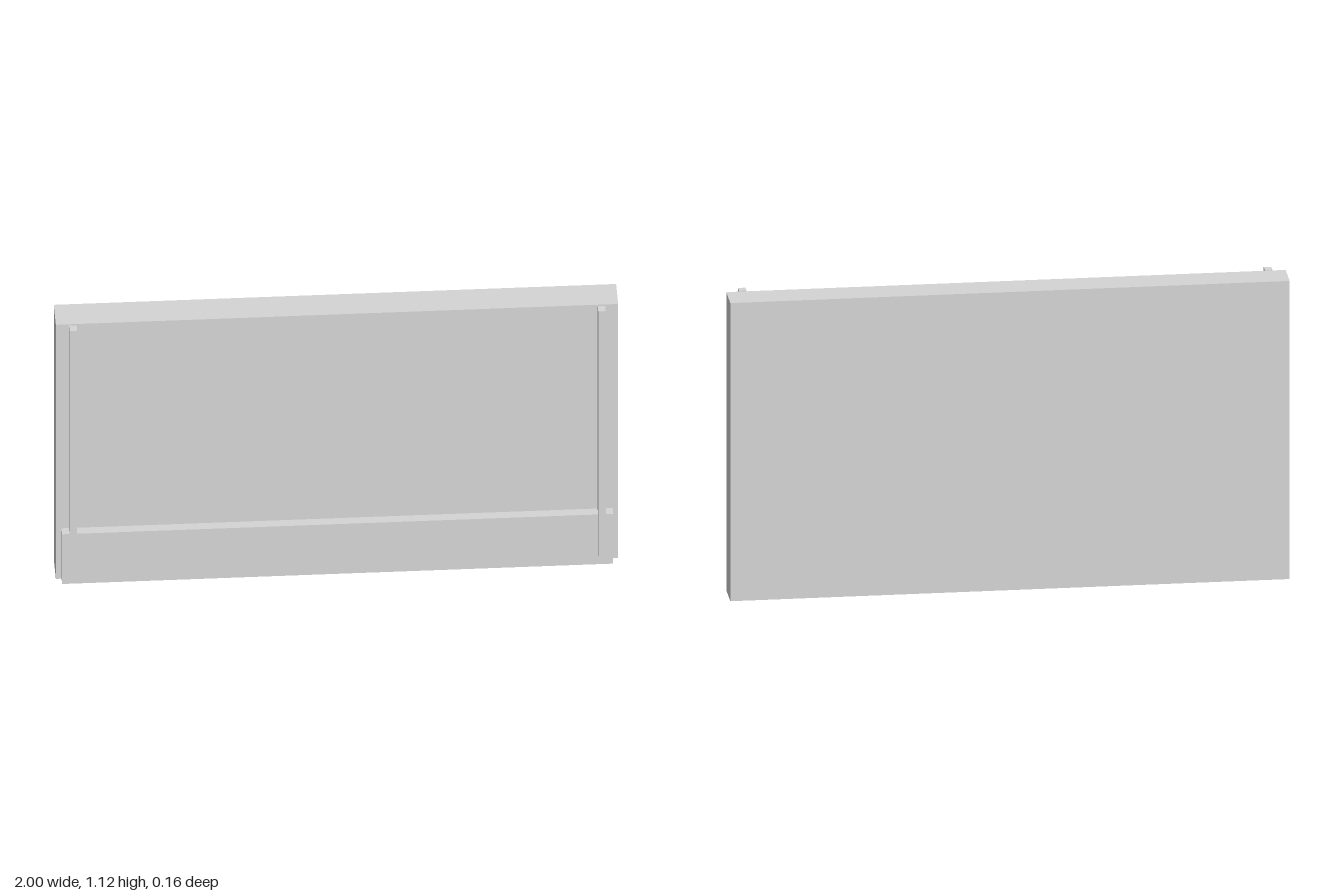
import * as THREE from 'three';

const grey = new THREE.MeshStandardMaterial({ color: 0xd5d5d5 });
grey.name = 'light grey';

// Box given by its extents along each axis
function block(name, [x0, x1], [y0, y1], [z0, z1]) {
  const mesh = new THREE.Mesh(new THREE.BoxGeometry(x1 - x0, y1 - y0, z1 - z0), grey);
  mesh.position.set((x0 + x1) / 2, (y0 + y1) / 2, (z0 + z1) / 2);
  mesh.name = name;
  return mesh;
}

export function createModel() {
  const model = new THREE.Group();
  model.name = 'wallPanel';

  // Thick main slab
  model.add(block('mainPanel', [-1, 1], [0, 1.12], [-0.08, 0.04]));

  // Low board across the front
  model.add(block('baseBoard', [-0.98, 0.98], [0.003, 0.222], [0.04, 0.076]));

  // Slim uprights, set into the board and standing just clear of the slab
  for (const [name, x] of [['leftUpright', 0.94], ['rightUpright', -0.94]]) {
    model.add(block(name, [x - 0.0135, x + 0.0135], [0.04, 1.12], [0.048, 0.08]));
  }
  return model;
}
